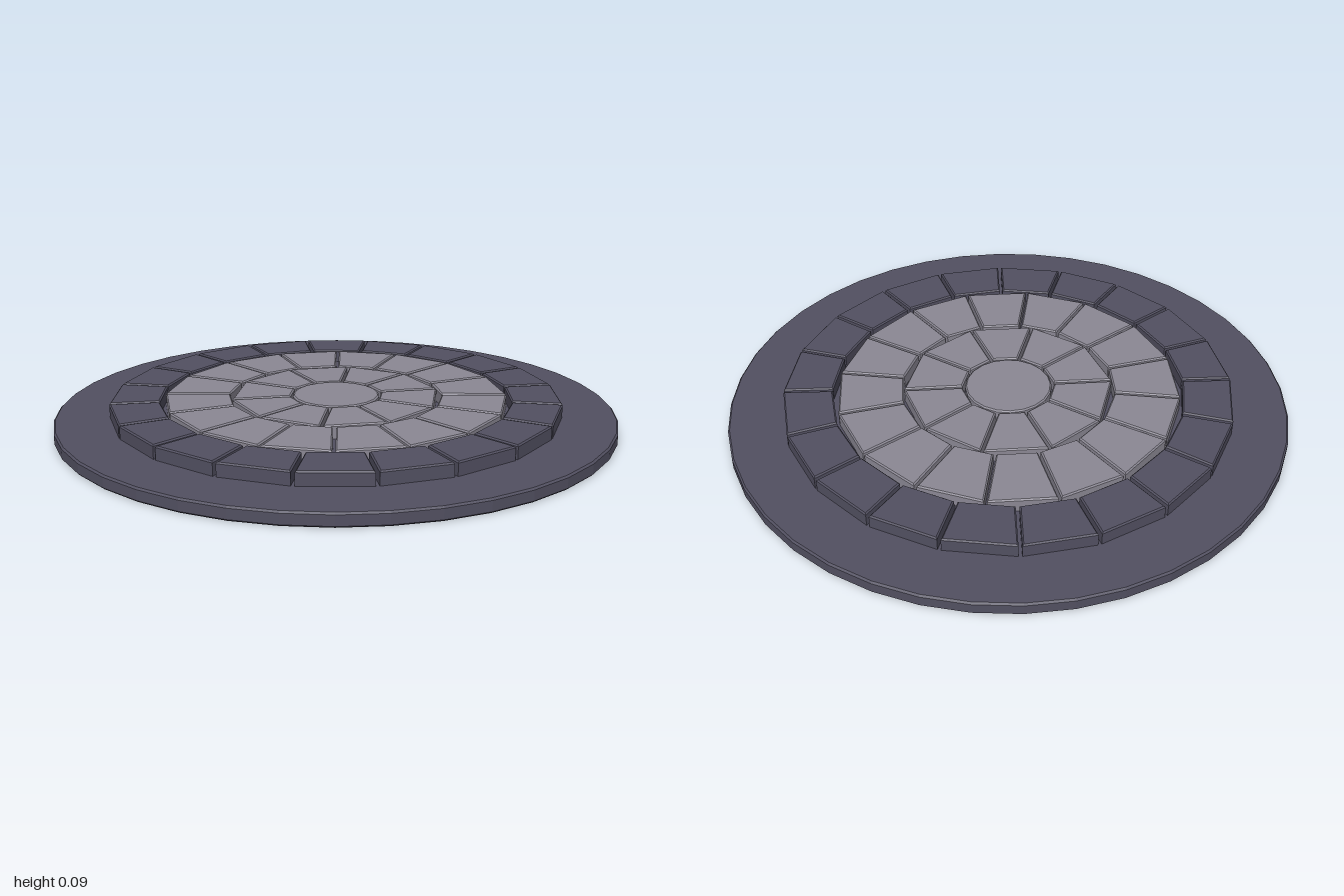
import * as THREE from 'three';

const flat = (name, color) => Object.assign(new THREE.MeshStandardMaterial({ color }), { name });

// Extrudes a plan outline (x, z points) upward with a thin chamfer on its edges
function slab(points, bottom, top, bevel) {
  const shape = new THREE.Shape(points.map(([x, z]) => new THREE.Vector2(x, -z)));
  const geometry = new THREE.ExtrudeGeometry(shape, {
    depth: top - bottom - 2 * bevel,
    bevelEnabled: true, bevelSegments: 1,
    bevelSize: bevel, bevelThickness: bevel, bevelOffset: -bevel,
  });
  geometry.rotateX(-Math.PI / 2);
  geometry.translate(0, bottom + bevel, 0);
  return geometry;
}

// Regular polygon outline
function disc(radius, sides) {
  return Array.from({ length: sides }, (_, i) => {
    const a = (i / sides) * Math.PI * 2;
    return [radius * Math.sin(a), -radius * Math.cos(a)];
  });
}

// Ring of straight-edged wedge stones; start is the first joint in degrees clockwise from the back
function stoneRing(name, { count, inner, outer, start, gap, bottom, top, material }) {
  const ring = new THREE.Group();
  ring.name = name;
  const half = Math.PI / count;
  const corner = (r, side) => {
    const a = side * (half - gap / 2 / r);
    return [r * Math.sin(a), -r * Math.cos(a)];
  };
  const geometry = slab(
    [corner(inner, -1), corner(inner, 1), corner(outer, 1), corner(outer, -1)],
    bottom, top, 0.005,
  );
  for (let i = 0; i < count; i++) {
    const stone = new THREE.Mesh(geometry, material);
    stone.name = name + 'Stone';
    stone.rotation.y = -(THREE.MathUtils.degToRad(start) + (2 * i + 1) * half);
    ring.add(stone);
  }
  return ring;
}

export function createModel() {
  const model = new THREE.Group();
  model.name = 'stonePlatform';
  const darkStone = flat('dark slate', 0x525061);
  const paleStone = flat('pale stone', 0x8b8894);

  // Broad base plate
  const base = new THREE.Mesh(slab(disc(1, 40), 0, 0.047, 0.006), darkStone);
  base.name = 'basePlate';
  model.add(base);

  // Three rings of paving, from the rim inward
  const level = { bottom: 0.04, top: 0.095 };
  model.add(
    stoneRing('rim', { ...level, count: 20, inner: 0.63, outer: 0.806, start: 0, gap: 0.012, material: darkStone }),
    stoneRing('middleRing', { ...level, count: 16, inner: 0.382, outer: 0.615, start: -8.5, gap: 0.01, material: paleStone }),
    stoneRing('innerRing', { ...level, count: 10, inner: 0.166, outer: 0.374, start: -1.6, gap: 0.01, material: paleStone }),
  );

  // Round stone at the centre
  const centre = new THREE.Mesh(slab(disc(0.156, 20), level.bottom, level.top, 0.005), paleStone);
  centre.name = 'centreStone';
  model.add(centre);

  return model;
}
